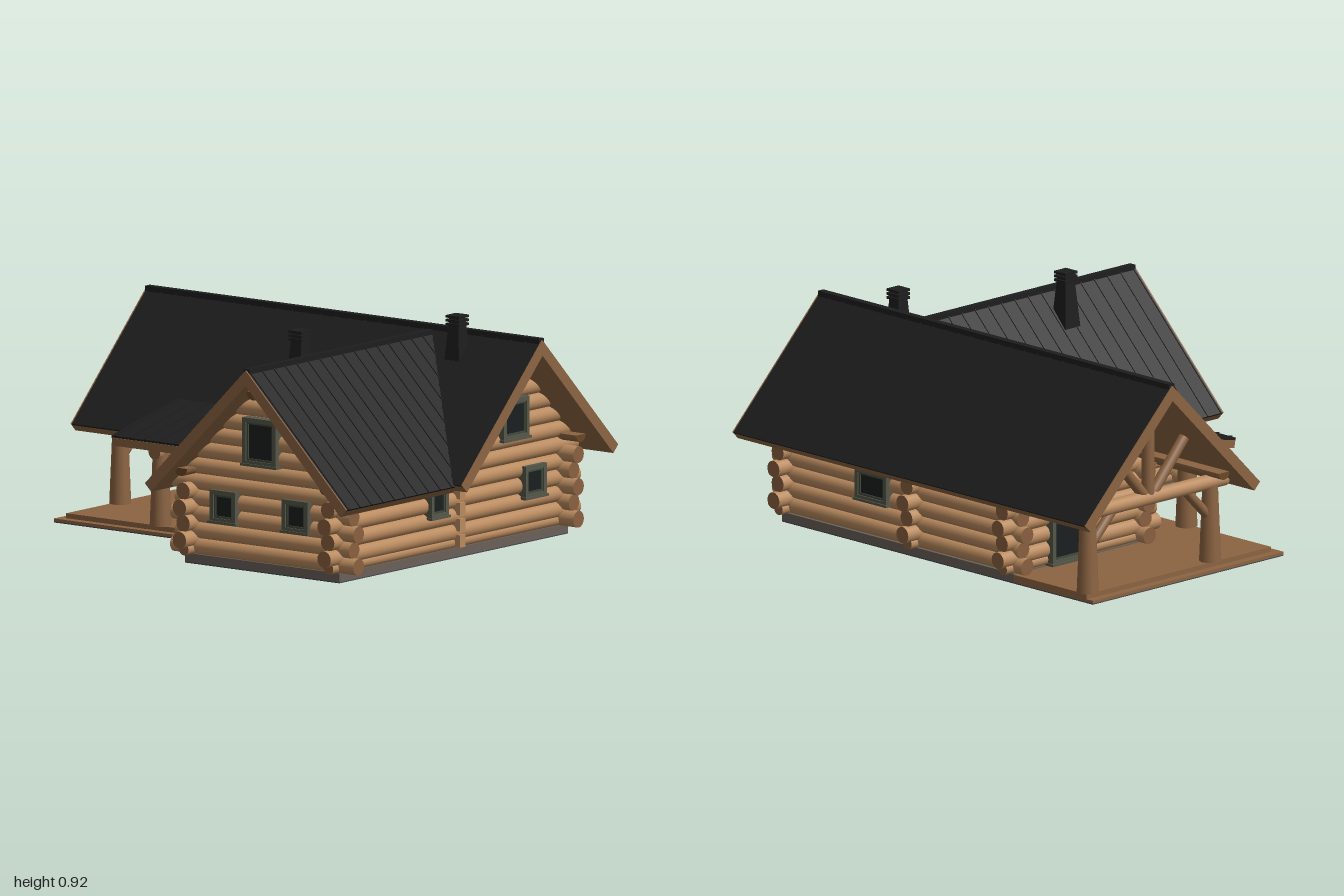
import * as THREE from 'three';

const mat = (name, color) => {
  const m = new THREE.MeshStandardMaterial({ color });
  m.name = name;
  return m;
};

export function createModel() {
  const model = new THREE.Group();
  model.name = 'logCabin';
  const logWood = mat('log wood', 0xb98a5e);
  const endWood = mat('log end wood', 0x8a6040);
  const trimWood = mat('trim wood', 0x8c6442);
  const purlinWood = mat('purlin end wood', 0x684829);
  const roofing = mat('roof metal', 0x1d1d1d);
  const stone = mat('foundation stone', 0x6a6057);
  const slate = mat('base slab', 0x434652);
  const frameMat = mat('window frame', 0x55574a);
  const sashMat = mat('window sash', 0x3f4a3a);
  const glass = mat('window glass', 0x1b1f1e);

  const V = (x, y, z) => new THREE.Vector3(x, y, z);
  const add = (name, geo, material, parent = model) => {
    const m = new THREE.Mesh(geo, material);
    m.name = name;
    parent.add(m);
    return m;
  };
  // Box given by its extents along each axis
  const box = (name, material, x0, x1, y0, y1, z0, z1, parent = model) => {
    const m = add(name, new THREE.BoxGeometry(x1 - x0, y1 - y0, z1 - z0), material, parent);
    m.position.set((x0 + x1) / 2, (y0 + y1) / 2, (z0 + z1) / 2);
    return m;
  };
  // Round log between two points, with darker sawn ends
  const log = (name, a, b, r = 0.034, rEnd = r, side = logWood) => {
    const d = b.clone().sub(a);
    const m = add(name, new THREE.CylinderGeometry(rEnd, r, d.length(), 16), [side, endWood, endWood]);
    m.position.copy(a).add(b).multiplyScalar(0.5);
    m.quaternion.setFromUnitVectors(V(0, 1, 0), d.normalize());
    return m;
  };
  // Square bar between two points
  const bar = (name, material, a, b, w, h) => {
    const m = add(name, new THREE.BoxGeometry(w, h, a.distanceTo(b)), material);
    m.position.copy(a).add(b).multiplyScalar(0.5);
    m.lookAt(b);
    return m;
  };
  // Half-round purlin with a flat top
  const purlin = (name, a, b, r) => {
    const s = new THREE.Shape().absarc(0, 0, r, Math.PI, Math.PI * 2, false);
    s.closePath();
    const g = new THREE.ExtrudeGeometry(s, { depth: a.distanceTo(b), bevelEnabled: false });
    const m = add(name, g, [purlinWood, trimWood]);
    m.position.copy(a);
    m.lookAt(b);
  };

  // Base slab and foundation
  box('baseSlabWest', slate, -0.92, 0.06, 0, 0.004, -0.73, 0.33);
  box('baseSlabEast', slate, 0.06, 0.84, 0, 0.004, -0.73, 0.735);
  box('mainFoundation', stone, -0.47, 0.84, 0.004, 0.04, -0.73, 0.005);
  box('wingFoundation', stone, 0.06, 0.84, 0.004, 0.04, 0.005, 0.735);

  // Two-tier deck around the west and front sides
  box('deckLowerWest', trimWood, -0.92, -0.47, 0.004, 0.016, -0.73, 0.33);
  box('deckLowerFront', trimWood, -0.47, 0.06, 0.004, 0.016, 0.005, 0.33);
  box('deckUpperWest', trimWood, -0.885, -0.47, 0.016, 0.036, -0.73, 0.295);
  box('deckUpperFront', trimWood, -0.47, 0.06, 0.016, 0.036, 0.005, 0.295);

  // Log walls: alternate rows overhang the corners by different lengths
  const PITCH = 0.065;
  const over = (k) => (k % 2 ? 0.075 : 0.098);
  const xWalls = [[0.71, 0.09, 0.82], [-0.02, -0.42, 0.7], [-0.7, -0.42, 0.82]];
  const zWalls = [[0.82, -0.7, 0.71], [0.09, -0.7, 0.71], [-0.45, -0.7, -0.02]];
  for (let k = 0; k < 5; k++) {
    const y = 0.07 + PITCH * k;
    for (const [z, x0, x1] of xWalls) {
      log('wallLogX', V(x0 - over(k), y, z), V(x1 + over(k), y, z));
    }
    // Slim ends of the cross wall on the east side
    bar('crossWallEnd', logWood, V(0.8, y, -0.02), V(0.868, y, -0.02), 0.036, 0.05);
  }
  for (const [x, z0, z1] of zWalls) {
    log('sillLog', V(x, 0.062, z0 - 0.07), V(x, 0.062, z1 + 0.07), 0.024);
    for (let k = 0; k < 4; k++) {
      const y = 0.1025 + PITCH * k;
      log('wallLogZ', V(x, y, z0 - over(k)), V(x, y, z1 + over(k)));
    }
  }

  // Gable logs, shortening under the roof slopes
  for (let y = 0.395; y < 0.77; y += PITCH) {
    const d = 0.79 - y;
    log('frontGableLog', V(0.455 - d, y, 0.71), V(0.455 + d, y, 0.71));
  }
  for (const x of [0.82, -0.45]) {
    for (let y = 0.3625; y < 0.78; y += PITCH) {
      const d = Math.min(0.805 - y, 0.42);
      log('sideGableLog', V(x, y, -0.365 - d), V(x, y, -0.365 + d));
    }
  }

  // Purlins carrying the overhangs
  for (const [y, z, r] of [[0.412, -0.7, 0.03], [0.412, -0.02, 0.03], [0.755, -0.365, 0.032]]) {
    purlin('mainPurlin', V(-0.94, y, z), V(0.93, y, z), r);
  }
  for (const [x, y, z0, r] of [[0.09, 0.392, 0.05, 0.032], [0.82, 0.392, 0.05, 0.032], [0.455, 0.738, 0, 0.034]]) {
    purlin('wingPurlin', V(x, y, z0), V(x, y, 0.8), r);
  }
  box('purlinBracket', purlinWood, 0.82, 0.875, 0.31, 0.39, -0.04, 0);

  // Porch posts and open truss
  for (const [x, z] of [[-0.86, -0.7], [-0.86, -0.02], [-0.42, 0.28]]) {
    log('porchPost', V(x, 0.036, z), V(x, 0.35, z), 0.044, 0.031, trimWood);
  }
  log('porchRoofBeam', V(-0.42, 0.335, -0.02), V(-0.42, 0.335, 0.32), 0.03);
  log('trussTie', V(-0.86, 0.36, -0.78), V(-0.86, 0.36, 0.06), 0.03);
  log('trussKingPost', V(-0.86, 0.36, -0.365), V(-0.86, 0.75, -0.365), 0.026, 0.026, trimWood);
  for (const s of [-1, 1]) {
    log('trussBrace', V(-0.86, 0.38, -0.365 + s * 0.03), V(-0.86, 0.57, -0.365 + s * 0.2), 0.022, 0.022, trimWood);
    log('postBrace', V(-0.86, 0.22, -0.36 + s * 0.33), V(-0.86, 0.35, -0.36 + s * 0.2), 0.02, 0.02, trimWood);
  }

  // Gabled roof layer: a 45 degree chevron with square-cut eaves
  const chevron = (R, hl, hr, t, depth) => {
    const s = new THREE.Shape([
      [-hl, R - hl], [0, R], [hr, R - hr], [hr - t / 2, R - hr - t / 2],
      [0, R - t], [-hl + t / 2, R - hl - t / 2],
    ].map((p) => new THREE.Vector2(...p)));
    return new THREE.ExtrudeGeometry(s, { depth, bevelEnabled: false });
  };
  const MAIN = 0.845, CROSS = 0.83, SKIN = 0.012, BOARD = 0.05, VERGE = 0.006;
  const mainSlab = (name, material, R, hl, hr, t, x0, x1) =>
    add(name, chevron(R, hl, hr, t, x1 - x0).rotateY(-Math.PI / 2).translate(x1, 0, -0.365), material);
  const layers = [['RoofSkin', roofing, 0, SKIN], ['RoofBoards', trimWood, SKIN, BOARD]];
  for (const [name, material, drop, t] of layers) {
    // Main roof, with a deeper front eave on the east half
    for (const [x0, x1, hr] of [[-1 + VERGE, 0.45, 0.485], [0.45, 1 - VERGE, 0.515]]) {
      mainSlab('main' + name, material, MAIN - drop, 0.485 - drop / 2, hr - drop / 2, t, x0, x1);
    }
    // Wing roof, its back end mitred along the valleys
    const g = chevron(CROSS - drop, 0.508 - drop / 2, 0.508 - drop / 2, t, 1.2);
    const p = g.attributes.position;
    for (let i = 0; i < p.count; i++) {
      p.setZ(i, p.getZ(i) < 0.1 ? -0.36 + Math.abs(p.getX(i)) : 0.845 - VERGE);
    }
    g.computeVertexNormals();
    add('wing' + name, g.translate(0.453, 0, 0), material);
  }
  // Bargeboards closing the gable ends
  const edge = SKIN + BOARD;
  mainSlab('eastBargeboard', trimWood, MAIN, 0.485, 0.515, edge, 1 - VERGE, 1);
  mainSlab('westBargeboard', trimWood, MAIN, 0.485, 0.485, edge, -1, -1 + VERGE);
  add('frontBargeboard', chevron(CROSS, 0.508, 0.508, edge, VERGE).translate(0.453, 0, 0.845 - VERGE), trimWood);

  box('mainRidgeCap', roofing, -1 + VERGE, 1 - VERGE, 0.828, 0.852, -0.38, -0.35);
  box('wingRidgeCap', roofing, 0.438, 0.468, 0.812, 0.835, -0.34, 0.838);

  // Low-slope porch roof
  bar('porchRoofSkin', roofing, V(-0.232, 0.487, -0.02), V(-0.232, 0.395, 0.412), 0.665, 0.01);
  bar('porchRoofBoards', trimWood, V(-0.232, 0.467, -0.02), V(-0.232, 0.375, 0.41), 0.66, 0.034);

  // Standing seams
  const seam = (a, b) => bar('roofSeam', roofing, a, b, 0.004, 0.008);
  for (let x = -0.985; x < 0.99; x += 0.0735) {
    const hr = x > 0.45 ? 0.515 : 0.485;
    seam(V(x, MAIN, -0.365), V(x, MAIN - 0.485, -0.85));
    seam(V(x, MAIN, -0.365), V(x, MAIN - hr, -0.365 + hr));
    if (x > -0.56 && x < 0.02) seam(V(x, 0.491, -0.02), V(x, 0.4, 0.412));
  }
  for (let z = 0.83; z > -0.3; z -= 0.0735) {
    const d = Math.min(0.508, z + 0.36);
    for (const s of [-1, 1]) seam(V(0.453, CROSS, z), V(0.453 + s * d, CROSS - d, z));
  }

  // Chimneys: flared square shafts with stacked cap plates
  for (const [x, z] of [[0.35, 0.365], [0.625, -0.295]]) {
    const shaft = new THREE.CylinderGeometry(0.034, 0.058, 0.2, 4).rotateY(Math.PI / 4).toNonIndexed();
    shaft.computeVertexNormals();
    add('chimneyShaft', shaft, roofing).position.set(x, 0.79, z);
    box('chimneyFlue', roofing, x - 0.022, x + 0.022, 0.88, 0.915, z - 0.022, z + 0.022);
    for (const y of [0.88, 0.896, 0.912]) {
      box('chimneyCap', roofing, x - 0.033, x + 0.033, y - 0.005, y + 0.005, z - 0.033, z + 0.033);
    }
  }

  // Windows and door: layered frame, sash and pane, facing local +z
  const opening = (name, w, h, x, y, z, turn) => {
    const g = new THREE.Group();
    g.name = name;
    const ring = (part, material, W, H, t, depth) => {
      for (const s of [-1, 1]) {
        const cx = s * (W - t) / 2, cy = s * (H - t) / 2;
        box(part, material, cx - t / 2, cx + t / 2, -H / 2, H / 2, 0, depth, g);
        box(part, material, -W / 2 + t, W / 2 - t, cy - t / 2, cy + t / 2, 0, depth, g);
      }
    };
    ring('frame', frameMat, w, h, 0.018, 0.05);
    ring('sash', sashMat, w - 0.036, h - 0.036, 0.008, 0.044);
    box('pane', glass, -w / 2 + 0.02, w / 2 - 0.02, -h / 2 + 0.02, h / 2 - 0.02, 0, 0.038, g);
    box('sill', frameMat, -w / 2 - 0.006, w / 2 + 0.006, -h / 2 - 0.004, -h / 2 + 0.006, 0, 0.056, g);
    g.position.set(x, y, z);
    g.rotation.y = turn;
    model.add(g);
  };
  const E = Math.PI / 2;
  opening('frontWindow', 0.13, 0.13, 0.268, 0.248, 0.71, 0);
  opening('frontWindow', 0.13, 0.13, 0.633, 0.248, 0.71, 0);
  opening('frontAtticWindow', 0.17, 0.19, 0.453, 0.527, 0.71, 0);
  opening('eastWindow', 0.11, 0.13, 0.82, 0.248, 0.125, E);
  opening('eastWindow', 0.135, 0.13, 0.82, 0.248, -0.49, E);
  opening('eastAtticWindow', 0.165, 0.165, 0.82, 0.515, -0.365, E);
  opening('backWindow', 0.18, 0.13, 0.32, 0.248, -0.7, Math.PI);
  opening('westDoor', 0.18, 0.28, -0.45, 0.182, -0.45, -E);
  return model;
}
